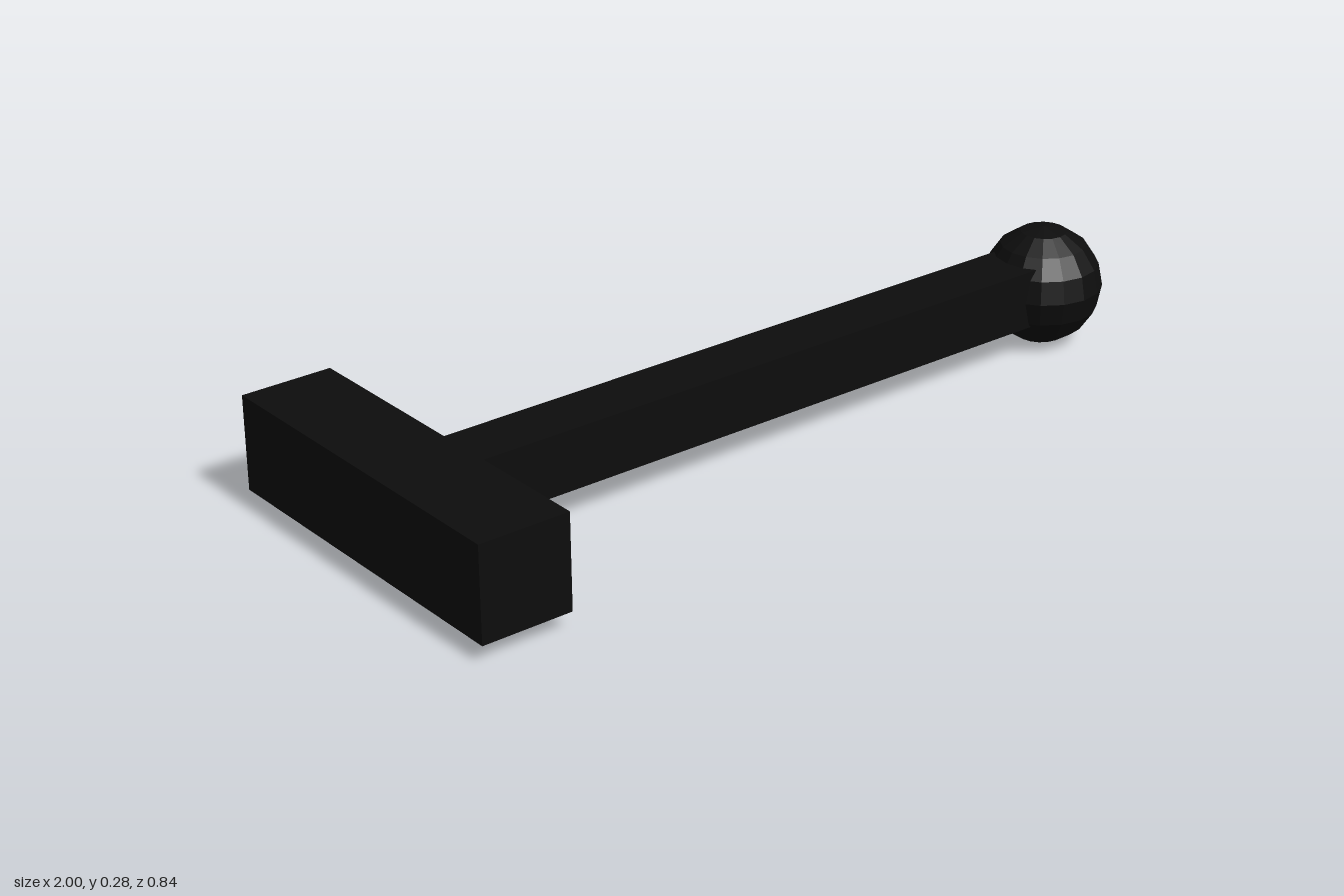
import * as THREE from 'three';

export function createModel() {
  const group = new THREE.Group();
  const black = new THREE.MeshStandardMaterial({ color: 0x0d0d0d });
  black.name = 'black';
  black.flatShading = true;

  const add = (name, geometry, x, y) => {
    const mesh = new THREE.Mesh(geometry, black);
    mesh.name = name;
    mesh.position.set(x, y, 0);
    group.add(mesh);
  };

  // Crosswise block, square shaft and faceted ball
  add('head', new THREE.BoxGeometry(0.21, 0.215, 0.838), -0.895, 0.147);
  add('shaft', new THREE.BoxGeometry(1.6, 0.138, 0.138), 0.005, 0.146);
  add('endBall', new THREE.SphereGeometry(0.139, 16, 8), 0.861, 0.139);

  return group;
}
